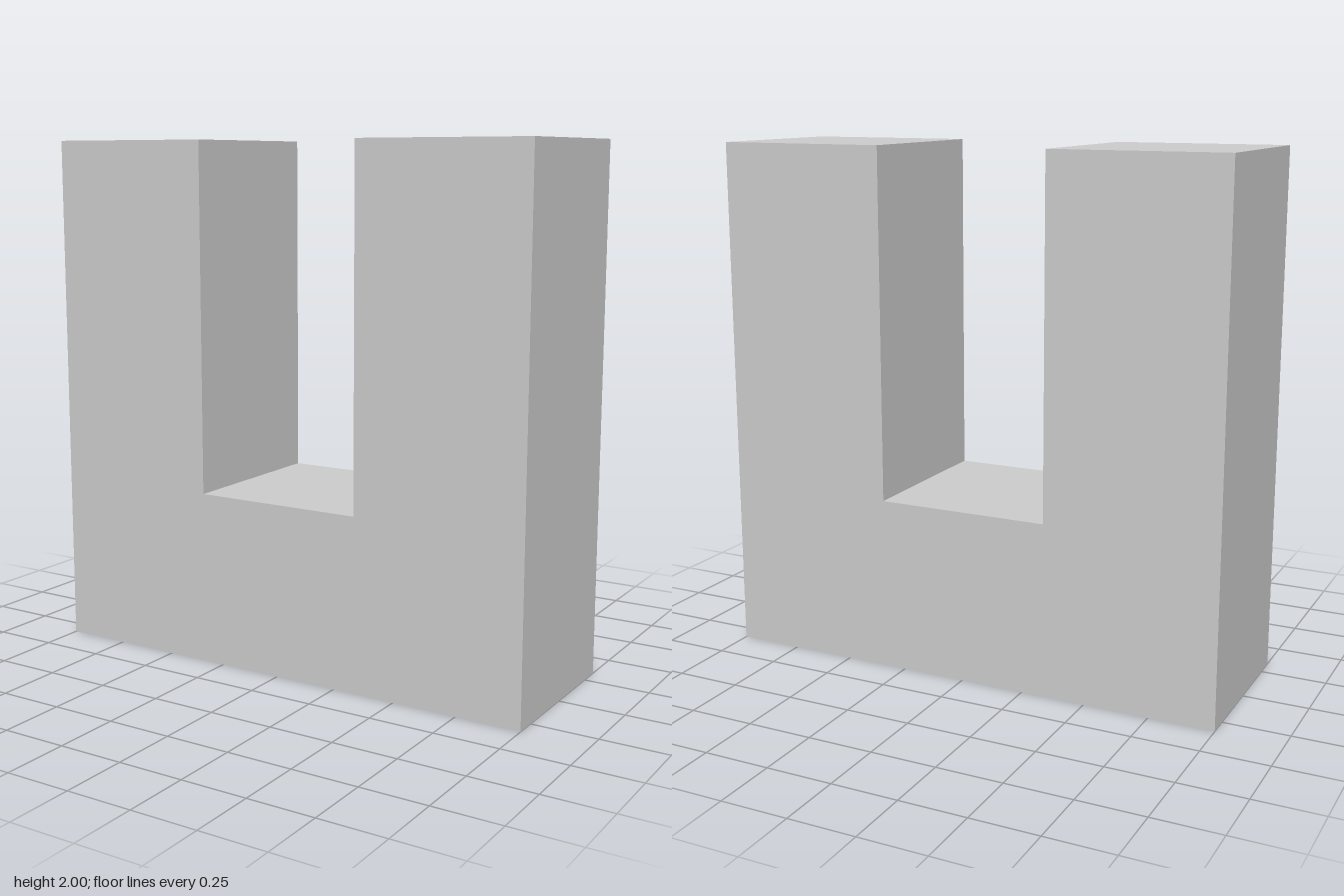
import * as THREE from 'three';

const UNIT = 2 / 3; // thickness of the arms, base and depth

export function createModel() {
  const group = new THREE.Group();
  group.name = 'uShapedBlock';

  // U-shaped outline, counter-clockwise from the bottom corner
  const inner = UNIT / 2;
  const outline = new THREE.Shape([
    [-1, 0], [1, 0], [1, 2], [inner, 2],
    [inner, UNIT], [-inner, UNIT], [-inner, 2], [-1, 2],
  ].map(([x, y]) => new THREE.Vector2(x, y)));

  // Solid block, extruded and centred in depth
  const geometry = new THREE.ExtrudeGeometry(outline, { depth: UNIT, bevelEnabled: false });
  geometry.translate(0, 0, -UNIT / 2);

  const block = new THREE.Mesh(
    geometry,
    new THREE.MeshStandardMaterial({ color: 0xcccccc, flatShading: true }),
  );
  block.name = 'block';
  group.add(block);
  return group;
}
